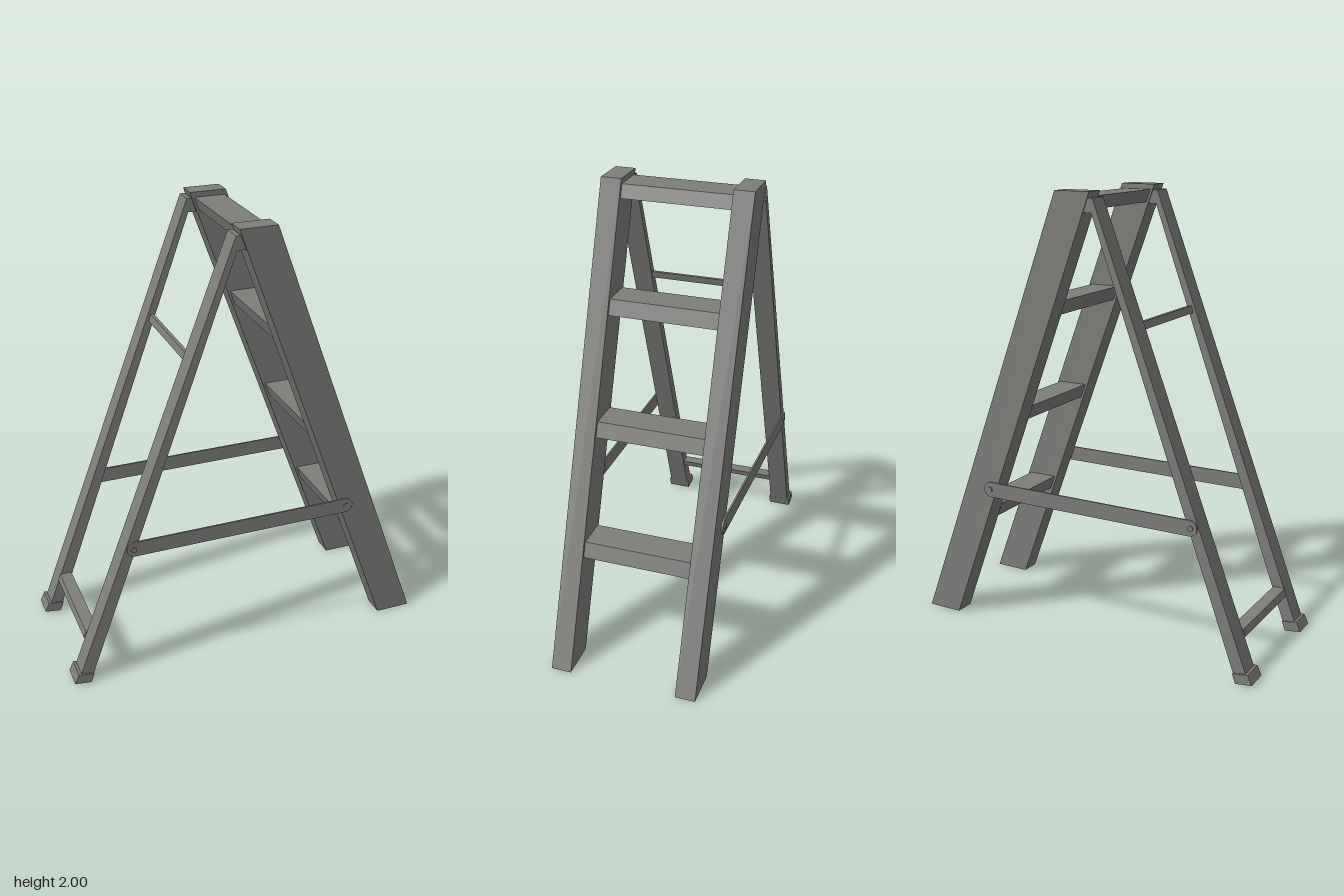
import * as THREE from 'three';

export function createModel() {
  const ladder = new THREE.Group();
  ladder.name = 'stepladder';
  const grey = new THREE.MeshStandardMaterial({ name: 'grey', color: 0x7d7d7a, flatShading: true });

  // Extrude a front-view outline between two depths
  function slab(name, shape, z0, z1) {
    const geo = new THREE.ExtrudeGeometry(shape, { depth: z1 - z0, bevelEnabled: false, curveSegments: 8 });
    geo.translate(0, 0, z0);
    const mesh = new THREE.Mesh(geo, grey);
    mesh.name = name;
    ladder.add(mesh);
  }
  // Same, on both sides of the ladder
  function pair(name, shape, inner, outer) {
    slab(name + 'Left', shape, inner, outer);
    slab(name + 'Right', shape, -outer, -inner);
  }
  const poly = (...pts) => new THREE.Shape(pts.map(([x, y]) => new THREE.Vector2(x, y)));

  // Sloping edges of the stringers
  const back = y => 0.673 - 0.369 * y;
  const front = y => 0.838 - 0.369 * y;

  pair('stringer', poly([back(0), 0], [front(0), 0], [front(2), 2], [back(2), 2]), 0.24, 0.33);

  // Tapered rear legs with a hinge block at the top
  pair('rearLeg', poly([-0.812, 0.04], [-0.752, 0.04], [-0.074, 1.915],
    [-0.036, 1.915], [-0.058, 1.975], [-0.08, 1.975]), 0.24, 0.33);
  pair('foot', poly([-0.84, 0.012], [-0.765, 0.002], [-0.75, 0.045], [-0.82, 0.055]), 0.233, 0.338);

  // Treads, with faces parallel to the stringers
  for (const top of [0.545, 1.04, 1.53, 1.977]) {
    const low = top - 0.065 + (top > 1.9 ? 0.008 : 0);
    slab('tread', poly([back(low) + 0.012, low], [front(low) - 0.015, low],
      [front(top) - 0.015, top], [back(top) + 0.012, top]), -0.24, 0.24);
  }

  // Rungs between the rear legs
  slab('lowerRung', poly([-0.765, 0.175], [-0.71, 0.175], [-0.699, 0.205], [-0.754, 0.205]), -0.24, 0.24);
  slab('upperRung', poly([-0.267, 1.438], [-0.252, 1.438], [-0.243, 1.47], [-0.258, 1.47]), -0.24, 0.24);

  // Round-ended spreader bars and their bolts
  const bar = new THREE.Shape();
  bar.absarc(0.46, 0.65, 0.035, -Math.PI / 2, Math.PI / 2, false);
  bar.absarc(-0.54, 0.65, 0.035, Math.PI / 2, Math.PI * 1.5, false);
  pair('spreader', bar, 0.33, 0.338);
  for (const x of [-0.545, 0.463]) {
    const bolt = new THREE.Shape();
    bolt.absarc(x, 0.65, 0.013, 0, Math.PI * 2, false);
    pair('bolt', bolt, 0.338, 0.343);
  }
  return ladder;
}
